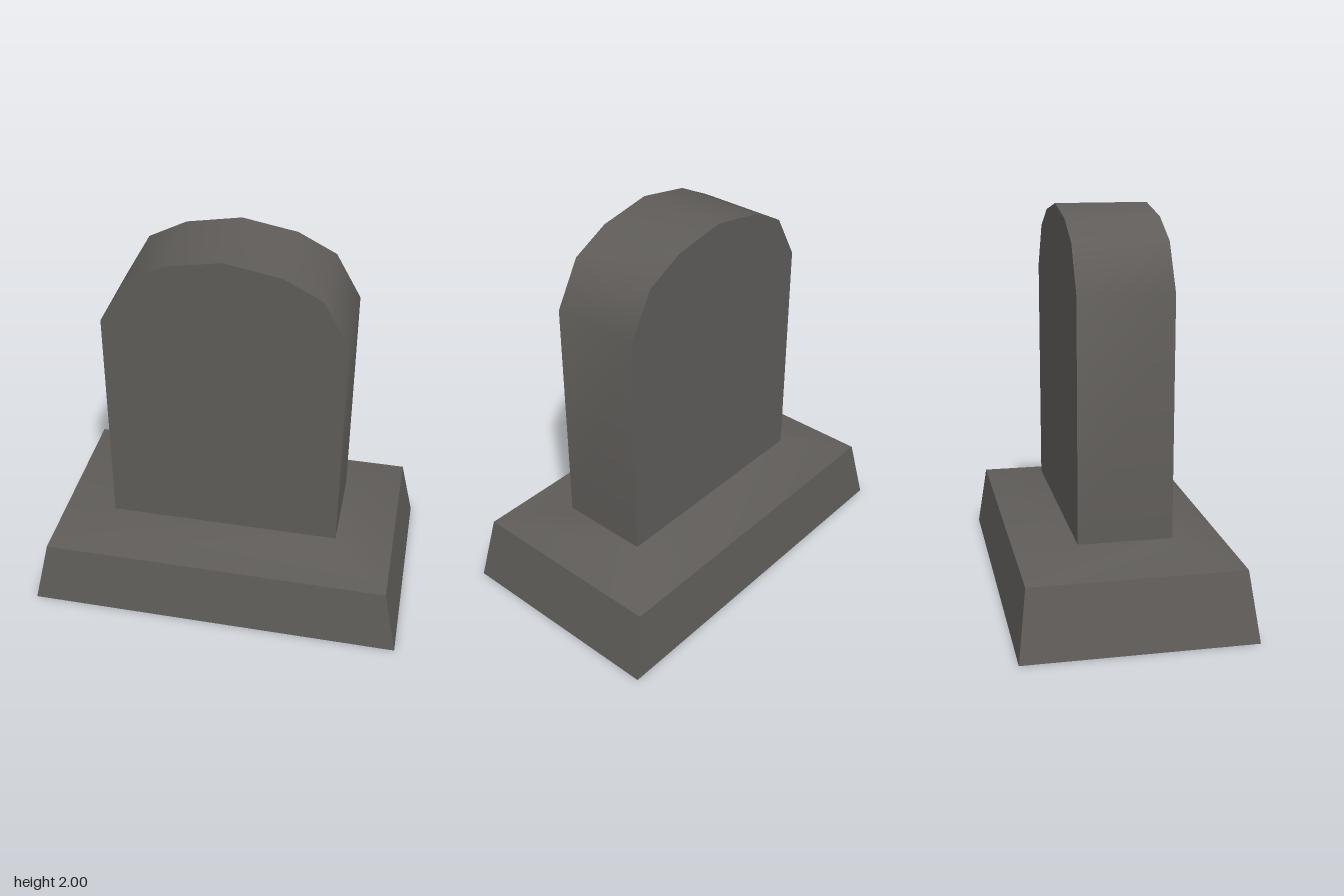
import * as THREE from 'three';
import { toCreasedNormals } from 'three/addons/utils/BufferGeometryUtils.js';

const stone = new THREE.MeshStandardMaterial({ color: 0x5f5c59, side: THREE.DoubleSide });
stone.name = 'dark stone';

// Joins quads (corners anticlockwise from outside) into one softly shaded surface
function quadSurface(quads) {
  const positions = [];
  for (const [a, b, c, d] of quads) positions.push(...a, ...b, ...c, ...a, ...c, ...d);
  const geometry = new THREE.BufferGeometry();
  geometry.setAttribute('position', new THREE.Float32BufferAttribute(positions, 3));
  return toCreasedNormals(geometry, 0.7);
}

function addMesh(parent, name, geometry) {
  const mesh = new THREE.Mesh(geometry, stone);
  mesh.name = name;
  parent.add(mesh);
  return mesh;
}

export function createModel() {
  const model = new THREE.Group();
  model.name = 'gravestone';

  // Plinth: tapered walls and a shallow sloping top, open underneath
  const levels = [
    { y: 0, x: 0.98, z: 0.575 },
    { y: 0.345, x: 0.905, z: 0.53 },
    { y: 0.415, x: 0.605, z: 0.235 },
  ].map(({ y, x, z }) => [[-x, y, z], [x, y, z], [x, y, -z], [-x, y, -z]]);
  const plinth = [];
  for (let l = 0; l < 2; l++) {
    for (let i = 0; i < 4; i++) {
      const j = (i + 1) % 4;
      plinth.push([levels[l][i], levels[l][j], levels[l + 1][j], levels[l + 1][i]]);
    }
  }
  addMesh(model, 'plinth', quadSurface(plinth));

  // Headstone outline, from the lower +x corner over the arch to the other side
  const half = [[0.605, 0.415], [0.605, 1.62], [0.475, 1.85], [0.28, 1.95]];
  const outline = [...half, [0, 2], ...half.map(([x, y]) => [-x, y]).reverse()];
  const depth = 0.235;

  const headstone = new THREE.Group();
  headstone.name = 'headstone';
  model.add(headstone);

  // Sides and arched top in one rounded strip
  const strip = outline.slice(1).map(([x1, y1], i) => {
    const [x0, y0] = outline[i];
    return [[x0, y0, depth], [x0, y0, -depth], [x1, y1, -depth], [x1, y1, depth]];
  });
  addMesh(headstone, 'archedSides', quadSurface(strip));

  // Flat front and back
  const face = new THREE.ShapeGeometry(new THREE.Shape(outline.map(([x, y]) => new THREE.Vector2(x, y))));
  addMesh(headstone, 'frontFace', face).position.z = depth;
  const back = addMesh(headstone, 'backFace', face);
  back.position.z = -depth;
  back.rotation.y = Math.PI;

  return model;
}
